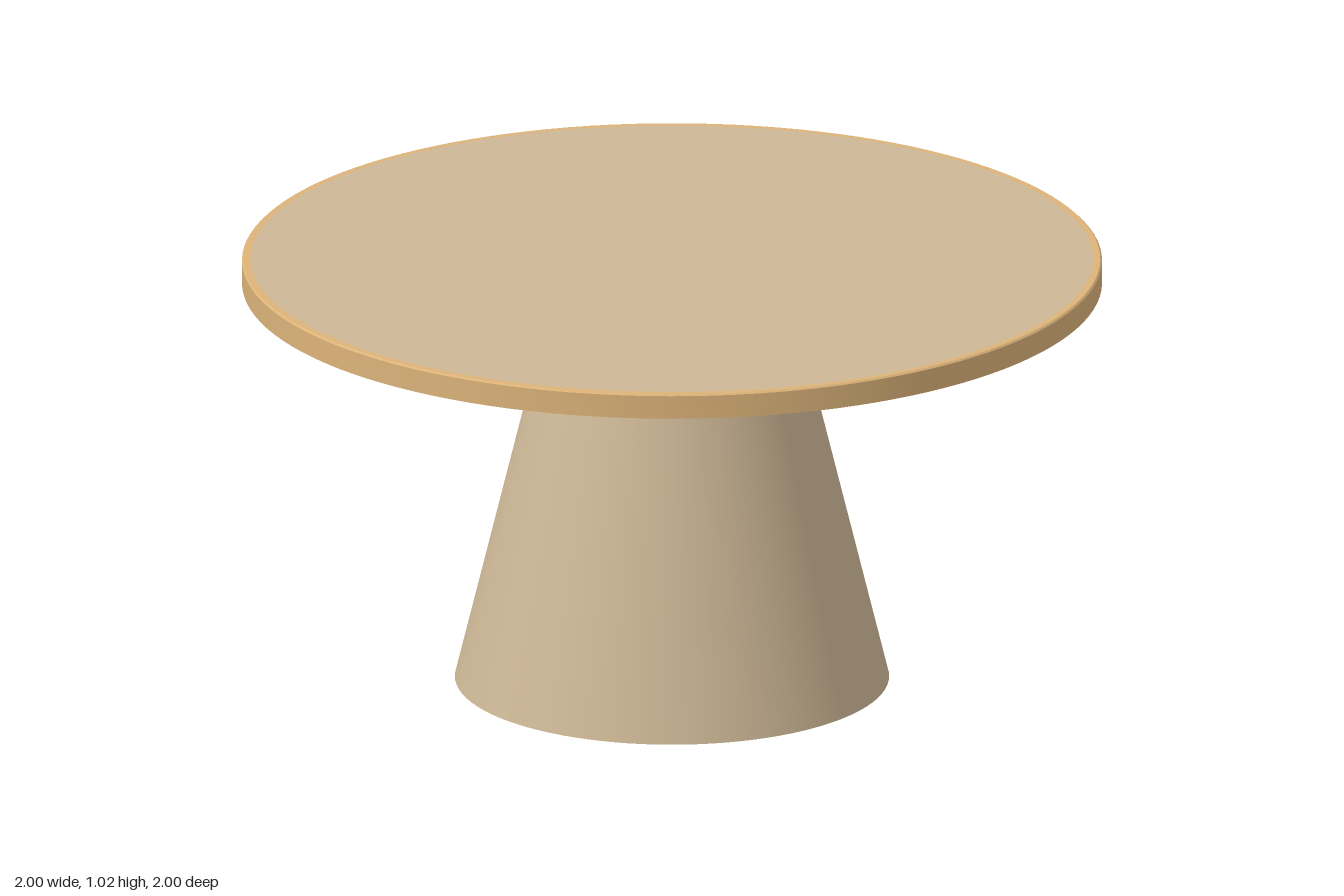
import * as THREE from 'three';
import { toCreasedNormals } from 'three/addons/utils/BufferGeometryUtils.js';

const material = (name, color) => {
  const m = new THREE.MeshStandardMaterial({ color });
  m.name = name;
  return m;
};

export function createModel() {
  const table = new THREE.Group();
  table.name = 'pedestalTable';

  const laminate = material('laminate', 0xcdb796);
  const wood = material('wood', 0xdcb379);
  const metal = material('fixingMetal', 0x85807a);

  const add = (name, geometry, mat, x = 0, y = 0, z = 0) => {
    const mesh = new THREE.Mesh(geometry, mat);
    mesh.name = name;
    mesh.position.set(x, y, z);
    table.add(mesh);
    return mesh;
  };

  // Wooden edge band with a flat top ring, hanging below the recessed underside
  const rim = [
    [0.975, 0.985], [0.975, 0.966], [1, 0.966],
    [1, 1.021], [0.996, 1.025], [0.98, 1.025],
  ].map(([r, y]) => new THREE.Vector2(r, y));
  add('tabletopEdge', toCreasedNormals(new THREE.LatheGeometry(rim, 128), 0.6), wood);

  // Laminate top surface on a wooden core (materials: side, top, bottom)
  add('tabletop', new THREE.CylinderGeometry(0.98, 0.98, 0.04, 128),
    [wood, laminate, wood], 0, 1.005, 0);

  // Square mounting plate
  add('mountingPlate', new THREE.BoxGeometry(0.766, 0.032, 0.766), wood, 0, 0.97, 0);

  // Tapered column: laminate side, wooden base
  add('column', new THREE.CylinderGeometry(0.272, 0.505, 0.953, 96),
    [laminate, wood, wood], 0, 0.4785, 0);

  // Plate screws and floor glides at the four diagonals
  for (const sx of [-1, 1]) {
    for (const sz of [-1, 1]) {
      add('plateScrew', new THREE.CylinderGeometry(0.016, 0.01, 0.012, 16), metal,
        sx * 0.272, 0.949, sz * 0.272);
      add('floorGlide', new THREE.CylinderGeometry(0.028, 0.026, 0.004, 20), wood,
        sx * 0.312, 0.0025, sz * 0.312);
      add('glideScrew', new THREE.CylinderGeometry(0.009, 0.009, 0.004, 12), metal,
        sx * 0.312, 0.002, sz * 0.312);
    }
  }

  return table;
}
